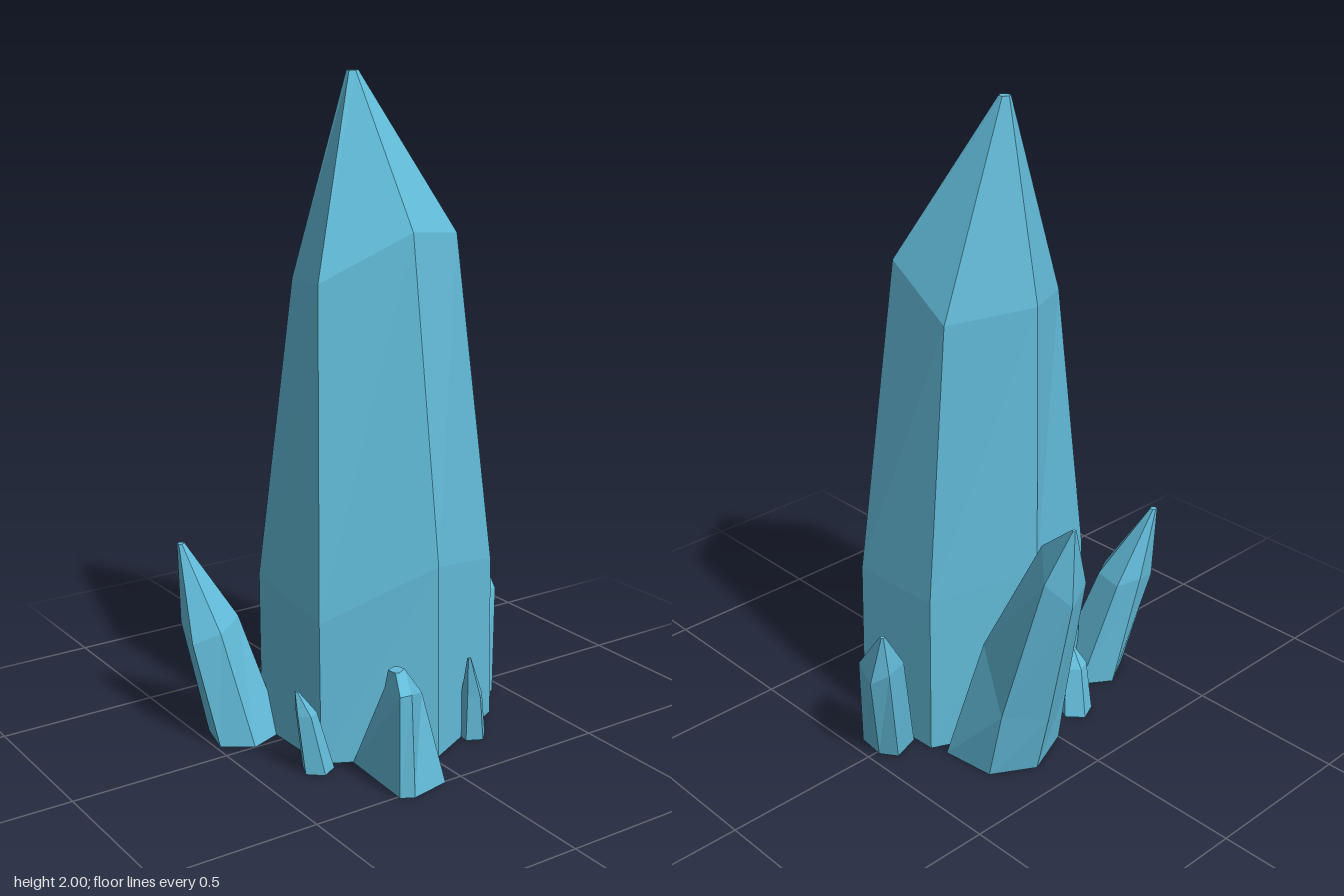
import * as THREE from 'three';

const crystalBlue = new THREE.MeshStandardMaterial({ color: 0x62bbd9, flatShading: true });
crystalBlue.name = 'crystalBlue';

const area = (r) => r.reduce((s, p, i) => {
  const q = r[(i + 1) % r.length];
  return s + p[0] * q[2] - q[0] * p[2];
}, 0);

const centre = (r) => [0, 1, 2].map((k) => r.reduce((s, p) => s + p[k], 0) / r.length);

// Small copy of a ring, flattened at the tip point
const tipRing = (ring, [x, y, z], size) => {
  const c = centre(ring);
  return ring.map((p) => {
    const dx = p[0] - c[0], dz = p[2] - c[2], l = Math.hypot(dx, dz);
    return [x + (dx / l) * size, y, z + (dz / l) * size];
  });
};

// Regular level ring for the smallest shards
const ring = (x, y, z, r, n, turn) => Array.from({ length: n }, (_, i) => {
  const a = turn + (i / n) * Math.PI * 2;
  return [x + r * Math.cos(a), y, z + r * Math.sin(a)];
});

// Loft faceted walls through the rings, then cap the base and the tip
function crystal(name, sections, tip, tipSize) {
  let rings = [...sections, tipRing(sections[sections.length - 1], tip, tipSize)];
  if (area(rings[0]) < 0) rings = rings.map((r) => [...r].reverse());
  const n = rings[0].length, pos = [];
  const tri = (a, b, c) => pos.push(...a, ...b, ...c);
  const bottom = rings[0], top = rings[rings.length - 1];
  const cb = centre(bottom), ct = centre(top);
  for (let i = 0; i < n; i++) {
    const j = (i + 1) % n;
    for (let k = 0; k < rings.length - 1; k++) {
      const lo = rings[k], hi = rings[k + 1];
      tri(lo[i], hi[i], lo[j]);
      tri(lo[j], hi[i], hi[j]);
    }
    tri(cb, bottom[i], bottom[j]);
    tri(ct, top[j], top[i]);
  }
  const geo = new THREE.BufferGeometry();
  geo.setAttribute('position', new THREE.Float32BufferAttribute(pos, 3));
  geo.computeVertexNormals();
  const mesh = new THREE.Mesh(geo, crystalBlue);
  mesh.name = name;
  return mesh;
}

export function createModel() {
  const group = new THREE.Group();
  group.name = 'crystalCluster';

  // Tall central crystal
  group.add(crystal('mainCrystal', [
    [[0.02, 0, -0.24], [0.33, 0, -0.1], [0.345, 0, 0.205], [0.02, 0, 0.365], [-0.295, 0, 0.205], [-0.305, 0, -0.12]],
    [[0.025, 0.58, -0.25], [0.325, 0.52, -0.1], [0.335, 0.52, 0.205], [0.02, 0.6, 0.355], [-0.295, 0.44, 0.2], [-0.3, 0.5, -0.13]],
    [[0.02, 1.42, -0.232], [0.275, 1.4, -0.122], [0.255, 1.53, 0.115], [0.02, 1.56, 0.218], [-0.23, 1.42, 0.105], [-0.17, 1.4, -0.13]],
  ], [0.03, 2, -0.105], 0.018));

  // Leaning crystal at the back
  group.add(crystal('backCrystal', [
    [[0.01, 0, -0.15], [0.31, 0, -0.15], [0.29, 0, -0.32], [0.16, 0, -0.395], [0, 0, -0.33]],
    [[0.01, 0.33, -0.25], [0.2, 0.37, -0.2], [0.285, 0.23, -0.367], [0.16, 0.2, -0.44], [0, 0.2, -0.36]],
    [[0.067, 0.72, -0.415], [0.15, 0.77, -0.39], [0.24, 0.72, -0.49], [0.165, 0.63, -0.53], [0.073, 0.66, -0.495]],
  ], [0.165, 0.88, -0.528], 0.007));

  // Medium crystal on the right at the back
  group.add(crystal('rightCrystal', [
    [[-0.487, 0, -0.06], [-0.4, 0, 0], [-0.27, 0, -0.05], [-0.26, 0, -0.18], [-0.35, 0, -0.24], [-0.46, 0, -0.18]],
    [[-0.535, 0.32, -0.13], [-0.46, 0.35, -0.09], [-0.365, 0.37, -0.15], [-0.355, 0.36, -0.24], [-0.42, 0.38, -0.28], [-0.51, 0.35, -0.25]],
  ], [-0.5, 0.6, -0.255], 0.012));

  // Medium crystal on the left
  group.add(crystal('leftCrystal', [
    [[0.367, 0, 0.13], [0.455, 0, 0.08], [0.465, 0, -0.01], [0.43, 0, -0.06], [0.34, 0, -0.03]],
    [[0.4, 0.36, 0.05], [0.5, 0.33, 0.03], [0.53, 0.31, -0.06], [0.49, 0.34, -0.1], [0.42, 0.35, -0.085]],
  ], [0.495, 0.47, -0.08], 0.008));

  // Stubby crystal at the front
  group.add(crystal('frontCrystal', [
    [[-0.225, 0, 0.51], [-0.187, 0, 0.53], [-0.06, 0, 0.505], [-0.025, 0, 0.34], [-0.1, 0, 0.25], [-0.21, 0, 0.25]],
    [[-0.227, 0.31, 0.51], [-0.19, 0.31, 0.515], [-0.115, 0.28, 0.46], [-0.1, 0.27, 0.4], [-0.14, 0.28, 0.365], [-0.21, 0.3, 0.41]],
  ], [-0.19, 0.36, 0.44], 0.024));

  // Three small shards: base, shoulder, tip
  const shards = [
    ['frontRightShard', [-0.32, 0, 0.225, 0.05], [-0.35, 0.18, 0.21, 0.033], [-0.375, 0.25, 0.2]],
    ['frontLeftShard', [0.195, 0, 0.305, 0.045], [0.185, 0.14, 0.315, 0.034], [0.155, 0.275, 0.335]],
    ['backShard', [-0.145, 0, -0.265, 0.055], [-0.165, 0.15, -0.235, 0.042], [-0.175, 0.205, -0.215]],
  ];
  shards.forEach(([name, base, shoulder, tip], i) => group.add(crystal(
    name, [ring(...base, 5, i + 0.4), ring(...shoulder, 5, i + 0.4)], tip, 0.006)));

  return group;
}
